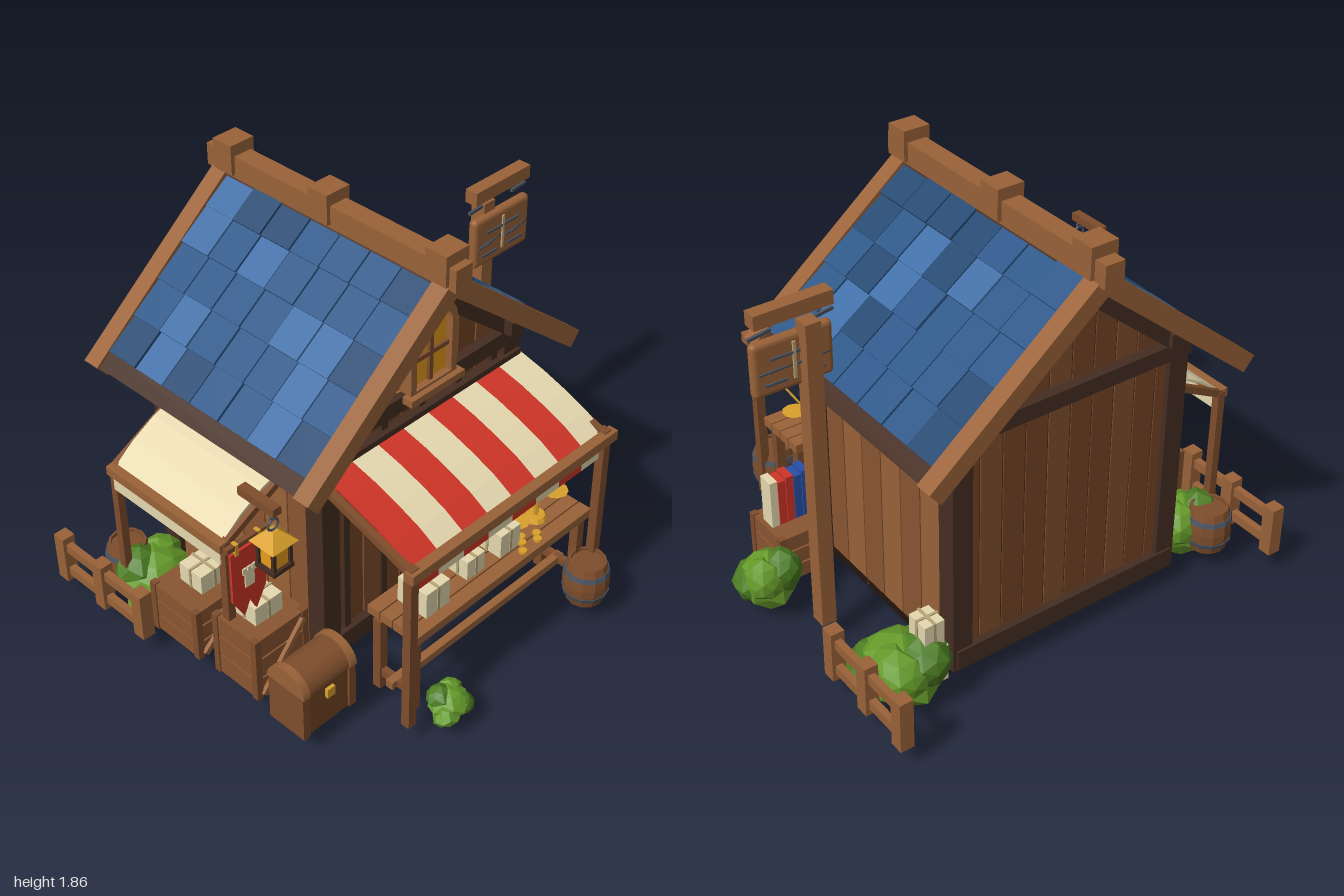
import * as THREE from 'three';
import { RoundedBoxGeometry } from 'three/addons/geometries/RoundedBoxGeometry.js';

const C = { light: 0x9a6238, mid: 0x7f4e2c, plank: 0x8a5531, plank2: 0x744525, dark: 0x452d21, deep: 0x24170f,
  cream: 0xe6d9b0, red: 0xcf3527, gold: 0xd9a02b, glass: 0xe89c1c, iron: 0x4a525e, blue: 0x2b5687, blue2: 0x244870,
  blue3: 0x3f6ea5, green: 0x659a2a, green2: 0x4c7d22, book: 0x2850a8, rope: 0xb9a678 };
const mats = {};
const mat = (color) => mats[color] ??= new THREE.MeshStandardMaterial({ color, flatShading: true, side: THREE.DoubleSide });
const hash = (a, b, c) => { const s = Math.sin(a * 12.99 + b * 78.23 + c * 37.72) * 43758.55; return s - Math.floor(s); };

function add(parent, name, geometry, color, x = 0, y = 0, z = 0) {
  const mesh = new THREE.Mesh(geometry, mat(color));
  mesh.name = name;
  mesh.position.set(x, y, z);
  parent.add(mesh);
  return mesh;
}
function group(parent, name, x = 0, y = 0, z = 0) {
  const g = new THREE.Group();
  g.name = name;
  g.position.set(x, y, z);
  parent.add(g);
  return g;
}
// box given by its extents
const box = (p, name, color, x0, x1, y0, y1, z0, z1) =>
  add(p, name, new THREE.BoxGeometry(x1 - x0, y1 - y0, z1 - z0), color, (x0 + x1) / 2, (y0 + y1) / 2, (z0 + z1) / 2);
// square beam from a to b
function beam(p, name, color, a, b, w, h = w) {
  const A = new THREE.Vector3(...a), B = new THREE.Vector3(...b);
  const m = add(p, name, new THREE.BoxGeometry(w, h, A.distanceTo(B)), color);
  m.position.copy(A).add(B).multiplyScalar(0.5);
  m.lookAt(B);
  return m;
}
const poly = (pts) => new THREE.Shape(pts.map(([x, y]) => new THREE.Vector2(x, y)));
const extrude = (shape, depth) => new THREE.ExtrudeGeometry(shape, { depth, bevelEnabled: false, curveSegments: 8 });
// profile in (z, y) swept along x, ending at x = 0
const extrudeX = (shape, width) => extrude(shape, width).rotateY(-Math.PI / 2);
const strip = (pts, t) => poly([...pts, ...pts.map(([x, y]) => [x, y - t]).reverse()]);
const cyl = (r0, r1, h, n = 10) => new THREE.CylinderGeometry(r0, r1, h, n);

function bush(root, x, y, z, rx, ry, rz) {
  const g = group(root, 'bush', x, y, z);
  g.scale.set(rx, ry, rz);
  [[0, 0, 0, 0.82], [0.38, -0.15, 0.3, 0.6], [-0.38, -0.3, 0.25, 0.6], [-0.2, 0.3, -0.3, 0.62], [0.35, 0.2, -0.3, 0.58]]
    .forEach(([a, b, c, r], i) => {
      const geo = new THREE.IcosahedronGeometry(r, 1), p = geo.attributes.position;
      for (let k = 0; k < p.count; k++) {
        const v = new THREE.Vector3().fromBufferAttribute(p, k);
        const q = v.toArray().map((n) => Math.round(n * 100));
        v.multiplyScalar(0.9 + 0.25 * hash(q[0] + i, q[1], q[2]));
        p.setXYZ(k, v.x, v.y, v.z);
      }
      geo.computeVertexNormals();
      add(g, 'leaves', geo, i % 2 ? C.green2 : C.green, a, b, c);
    });
}
function barrel(root, x, z) {
  const g = group(root, 'barrel', x, 0.11, z);
  const prof = [[0, 0], [0.08, 0], [0.097, 0.06], [0.1, 0.1], [0.097, 0.14], [0.08, 0.2], [0.07, 0.2], [0.07, 0.185], [0, 0.185]];
  add(g, 'staves', new THREE.LatheGeometry(prof.map(([r, y]) => new THREE.Vector2(r, y)), 12), C.mid);
  for (const y of [0.045, 0.155]) add(g, 'hoop', cyl(y < 0.1 ? 0.1 : 0.094, y < 0.1 ? 0.094 : 0.1, 0.02, 12), C.iron, 0, y);
}
function crate(root, x0, x1, y0, y1, z0, z1) {
  const g = group(root, 'crate');
  box(g, 'crateCore', C.plank2, x0 + 0.015, x1 - 0.015, y0, y1 - 0.01, z0 + 0.015, z1 - 0.015);
  const n = 3, h = (y1 - y0) / n;
  for (let i = 0; i < n; i++) box(g, 'crateSlat', C.plank, x0 + 0.005, x1 - 0.005, y0 + i * h + 0.005, y0 + (i + 1) * h - 0.005, z0 + 0.005, z1 - 0.005);
  for (const x of [x0, x1 - 0.03]) for (const z of [z0, z1 - 0.03]) box(g, 'cratePost', C.mid, x, x + 0.03, y0, y1, z, z + 0.03);
  beam(g, 'crateBrace', C.light, [x0 + 0.03, y0 + 0.02, z1], [x1 - 0.03, y1 - 0.03, z1], 0.025);
}
function parcel(root, x0, x1, y0, y1, z0, z1) {
  const g = group(root, 'parcel'), x = (x0 + x1) / 2, z = (z0 + z1) / 2;
  box(g, 'wrapping', C.cream, x0, x1, y0, y1, z0, z1);
  box(g, 'string', C.rope, x - 0.006, x + 0.006, y0, y1 + 0.004, z0 - 0.004, z1 + 0.004);
  box(g, 'string', C.rope, x0 - 0.004, x1 + 0.004, y0, y1 + 0.004, z - 0.006, z + 0.006);
}
function fence(root, x, z0, z1) {
  const g = group(root, 'fence');
  for (const t of [0, 0.5, 1]) { const z = z0 + 0.03 + t * (z1 - z0 - 0.06); box(g, 'fencePost', C.light, x - 0.03, x + 0.03, 0.11, 0.34, z - 0.03, z + 0.03); }
  for (const y of [0.14, 0.265]) box(g, 'fenceRail', C.light, x - 0.015, x + 0.015, y, y + 0.042, z0 + 0.015, z1 - 0.015);
}

function buildHouse(root) {
  const h = group(root, 'house', -0.016);
  box(h, 'floor', C.deep, -0.54, 0.54, 0.11, 0.15, -0.67, 0.28);
  // front and back planks, cut to the roof line
  const top = (x) => 1.67 - 0.82 * Math.abs(x), w = 0.104;
  for (const z of [0.235, -0.655]) for (let i = -5; i < 5; i++) {
    const a = i * w + 0.004, b = (i + 1) * w - 0.004;
    add(h, 'wallPlank', extrude(poly([[a, 0.12], [b, 0.12], [b, top(b)], [a, top(a)]]), 0.03), i % 3 ? C.plank2 : C.mid, 0, 0, z);
  }
  for (const z of [0.235, -0.65]) add(h, 'wallBacking', extrude(poly([[-0.52, 0.12], [0.52, 0.12], [0.52, 1.24], [0, 1.66], [-0.52, 1.24]]), 0.015), C.dark, 0, 0, z);
  for (const s of [-1, 1]) {
    box(h, 'sideBacking', C.dark, s * 0.515 - 0.01, s * 0.515 + 0.01, 0.12, 1.24, -0.65, 0.25);
    for (let i = 0; i < 6; i++) box(h, 'sidePlank', i % 2 ? C.plank : C.light, s * 0.525 - 0.015, s * 0.525 + 0.015, 0.12, 1.2, -0.575 + i * 0.132, -0.45 + i * 0.132);
    for (const z of [-0.635, 0.245]) box(h, 'cornerPost', C.dark, s * 0.51 - 0.045, s * 0.51 + 0.045, 0.11, 1.2, z - 0.045, z + 0.045);
    box(h, 'sideTopBeam', C.dark, s * 0.52 - 0.03, s * 0.52 + 0.03, 1.14, 1.22, -0.68, 0.29);
    box(h, 'purlin', C.dark, s * 0.46 - 0.03, s * 0.46 + 0.03, 1.235, 1.295, -0.72, 0.35);
  }
  for (const z of [-0.665, 0.275]) {
    box(h, 'tieBeam', C.dark, -0.55, 0.55, 1.165, 1.235, z - 0.035, z + 0.035);
    box(h, 'sillBeam', C.dark, -0.54, 0.54, 0.12, 0.21, z - 0.025, z + 0.025);
  }
  box(h, 'awningBeam', C.dark, -0.55, 0.55, 1.05, 1.1, 0.26, 0.305);
  for (let i = -2; i <= 2; i++) box(h, 'batten', C.dark, i * 0.208 - 0.016, i * 0.208 + 0.016, 0.2, 1.17, 0.25, 0.28);

  // roof: one tilted half per side, local x runs down the slope
  for (const s of [-1, 1]) {
    const r = group(h, 'roofHalf', 0, 1.766);
    r.rotation.z = -s * 0.687;
    const part = (name, color, a, b, y0, y1, z0, z1) => box(r, name, color, Math.min(s * a, s * b), Math.max(s * a, s * b), y0, y1, z0, z1);
    part('roofDeck', C.dark, 0, 0.95, -0.07, -0.035, -0.76, 0.36);
    part('fascia', C.dark, 0.9, 0.975, -0.075, -0.015, -0.76, 0.36);
    for (const z of [-0.83, 0.355]) part('bargeBoard', C.light, 0, 0.982, -0.077, 0, z, z + 0.078);
    for (const z of [-0.7, 0.265]) part('gableBrace', C.dark, 0.03, 0.72, -0.14, -0.085, z, z + 0.045);
    for (let i = 0; i < 5; i++) for (let j = 0; j < 7; j++) {
      const k = hash(i + 1, j + 3, s + 2);
      const tile = add(r, 'roofTile', new THREE.BoxGeometry(0.185, 0.022, 0.153), k < 0.3 ? C.blue2 : k > 0.8 ? C.blue3 : C.blue,
        s * (0.12 + i * 0.172), -0.026 + 0.008 * hash(j, i, s), -0.674 + j * 0.159);
      tile.rotation.z = s * 0.06;
    }
  }
  box(h, 'ridgeBeam', C.light, -0.043, 0.043, 1.72, 1.815, -0.86, 0.465);
  for (const z of [-0.75, -0.22, 0.38]) box(h, 'ridgeCap', C.light, -0.06, 0.06, 1.735, 1.865, z - 0.052, z + 0.052);

  // arched window
  const win = group(h, 'window');
  const arch = (Type, r, y0) => { const p = new Type(); p.moveTo(-r, y0); p.lineTo(r, y0); p.lineTo(r, 1.475); p.absarc(0, 1.475, r, 0, Math.PI, false); p.closePath(); return p; };
  const frame = arch(THREE.Shape, 0.126, 1.225);
  frame.holes.push(arch(THREE.Path, 0.096, 1.245));
  add(win, 'windowFrame', extrude(frame, 0.06), C.light, 0, 0, 0.275);
  add(win, 'windowGlass', extrude(arch(THREE.Shape, 0.1, 1.235), 0.015), C.glass, 0, 0, 0.29);
  box(win, 'mullion', C.mid, -0.01, 0.01, 1.235, 1.57, 0.3, 0.32);
  box(win, 'mullion', C.mid, -0.1, 0.1, 1.36, 1.38, 0.3, 0.32);
  box(win, 'windowSill', C.light, -0.147, 0.147, 1.205, 1.235, 0.27, 0.36);
}

function buildFrontStall(root) {
  const a = group(root, 'frontAwning');
  const cloth = [[0.3, 1.075], [0.42, 1.045], [0.54, 1.005], [0.65, 0.96], [0.745, 0.905]];
  const w = 1.105 / 8;
  for (let i = 0; i < 8; i++) {
    const color = i % 2 ? C.cream : C.red, x1 = -0.562 + (i + 1) * w;
    add(a, 'awningStripe', extrudeX(strip(cloth, 0.012), w), color, x1);
    box(a, 'valance', color, x1 - w, x1, 0.79, 0.91, 0.735, 0.747);
  }
  box(a, 'awningBar', C.light, -0.605, 0.57, 0.88, 0.925, 0.743, 0.788);
  for (const x of [-0.575, 0.533]) {
    box(a, 'awningPost', C.mid, x - 0.02, x + 0.02, 0.11, 0.93, 0.73, 0.77);
    beam(a, 'awningRafter', C.mid, [x, 1.055, 0.28], [x, 0.9, 0.76], 0.03);
  }
  const t = group(root, 'counter');
  for (let i = 0; i < 4; i++) box(t, 'counterPlank', C.light, -0.51, 0.525, 0.47, 0.51, 0.467 + i * 0.067, 0.528 + i * 0.067);
  for (const x of [-0.5, 0.48]) {
    for (const z of [0.525, 0.7]) box(t, 'counterLeg', C.mid, x - 0.02, x + 0.02, 0.11, 0.47, z - 0.02, z + 0.02);
    box(t, 'counterCross', C.mid, x - 0.014, x + 0.014, 0.18, 0.215, 0.53, 0.7);
  }
  box(t, 'counterRail', C.light, -0.54, 0.5, 0.18, 0.215, 0.595, 0.63);
  parcel(root, -0.41, -0.28, 0.51, 0.63, 0.53, 0.68);
  parcel(root, -0.145, -0.045, 0.51, 0.6, 0.55, 0.65);
  parcel(root, 0.04, 0.155, 0.51, 0.62, 0.52, 0.66);
  // weighing scales and coins
  const s = group(root, 'scales', 0.325, 0.51, 0.6);
  add(s, 'scalesBase', cyl(0.04, 0.05, 0.02), C.gold, 0, 0.01);
  add(s, 'scalesColumn', cyl(0.008, 0.012, 0.22, 6), C.gold, 0, 0.12);
  beam(s, 'scalesBeam', C.gold, [-0.13, 0.205, 0], [0.13, 0.22, 0], 0.012);
  for (const [x, y] of [[-0.12, 0.05], [0.12, 0.065]]) {
    for (const d of [-0.04, 0.04]) beam(s, 'scalesChain', C.gold, [x, y + 0.155, 0], [x, y, d], 0.005);
    add(s, 'scalesPan', cyl(0.055, 0.035, 0.014), C.gold, x, y);
  }
  for (let i = 0; i < 5; i++) add(root, 'coin', cyl(0.018, 0.018, 0.012, 8), C.gold, 0.13 + i * 0.03, 0.516 + (i % 2) * 0.006, 0.7 - (i % 3) * 0.03);
}

function buildSideStall(root) {
  const a = group(root, 'sideAwning');
  add(a, 'sideCanvas', extrude(strip([[-0.56, 0.98], [-0.66, 0.945], [-0.77, 0.885], [-0.88, 0.8]], 0.012), 0.63), C.cream, 0, 0, -0.57);
  box(a, 'sideValance', C.cream, -0.885, -0.873, 0.7, 0.8, -0.57, 0.06);
  box(a, 'sideBar', C.light, -0.9, -0.86, 0.775, 0.815, -0.59, 0.08);
  for (const z of [-0.58, 0.065]) {
    box(a, 'sidePost', C.mid, -0.88, -0.845, 0.11, 0.81, z - 0.018, z + 0.018);
    beam(a, 'sideRafter', C.mid, [-0.54, 0.965, z], [-0.88, 0.79, z], 0.03);
  }
  crate(root, -0.9, -0.62, 0.11, 0.42, 0, 0.25);
  crate(root, -0.915, -0.62, 0.11, 0.36, -0.36, -0.08);
  parcel(root, -0.83, -0.69, 0.42, 0.51, 0.05, 0.18);
  parcel(root, -0.82, -0.68, 0.36, 0.45, -0.28, -0.15);
  // chest with domed lid
  const c = group(root, 'chest');
  const dome = (r, ry) => { const p = new THREE.Shape(); p.moveTo(-r, 0.33); p.absellipse(0, 0.33, r, ry, Math.PI, 0, true); p.closePath(); return p; };
  box(c, 'chestBody', C.plank2, -0.9, -0.645, 0.11, 0.33, 0.34, 0.515);
  add(c, 'chestLid', extrudeX(dome(0.095, 0.085), 0.275), C.mid, -0.635, 0, 0.43);
  for (const x of [-0.88, -0.635]) {
    add(c, 'lidStrap', extrudeX(dome(0.102, 0.092), 0.035), C.light, x, 0, 0.43);
    box(c, 'bodyStrap', C.mid, x - 0.035, x, 0.11, 0.33, 0.335, 0.525);
  }
  box(c, 'chestLock', C.gold, -0.79, -0.75, 0.25, 0.295, 0.51, 0.53);
  // banner
  const b = group(root, 'banner');
  box(b, 'bannerRod', C.mid, -0.985, -0.78, 0.92, 0.942, 0.205, 0.227);
  add(b, 'bannerCloth', extrude(poly([[-0.968, 0.9], [-0.968, 0.665], [-0.915, 0.57], [-0.885, 0.635], [-0.855, 0.57], [-0.803, 0.665], [-0.803, 0.9]]), 0.012), C.red, 0, 0, 0.21);
  for (const x of [-0.94, -0.83]) box(b, 'bannerLoop', C.gold, x - 0.008, x + 0.008, 0.89, 0.945, 0.203, 0.229);
  box(b, 'towerRelief', C.cream, -0.908, -0.862, 0.71, 0.79, 0.22, 0.228);
  for (const x of [-0.908, -0.885, -0.862]) box(b, 'towerRelief', C.cream, x - 0.009, x + 0.009, 0.775, 0.805, 0.22, 0.228);
  // lantern on a short arm
  const l = group(root, 'lantern', -0.895, 0, 0.38);
  box(l, 'lanternArm', C.mid, -0.02, 0.02, 1.165, 1.2, -0.16, 0.025);
  const ring = add(l, 'lanternRing', new THREE.TorusGeometry(0.025, 0.005, 5, 10), C.iron, 0, 1.11);
  beam(l, 'lanternHook', C.iron, [0, 1.17, 0], [0, 1.13, 0], 0.01);
  add(l, 'lanternCap', cyl(0.02, 0.09, 0.05, 4).rotateY(Math.PI / 4), C.gold, 0, 1.06);
  box(l, 'lanternGlass', C.glass, -0.036, 0.036, 0.93, 1.04, -0.036, 0.036);
  box(l, 'lanternBase', C.dark, -0.05, 0.05, 0.913, 0.932, -0.05, 0.05);
  for (const x of [-0.04, 0.04]) for (const z of [-0.04, 0.04]) box(l, 'lanternBar', C.dark, x - 0.007, x + 0.007, 0.92, 1.04, z - 0.007, z + 0.007);
}

function buildSign(root) {
  const s = group(root, 'sign', 0.83, 0, -0.1);
  box(s, 'signPost', C.light, -0.09, -0.025, 0.11, 1.51, -0.06, 0.01);
  box(s, 'signArm', C.light, -0.165, 0.165, 1.54, 1.6, -0.03, 0.03);
  add(s, 'signBoard', new RoundedBoxGeometry(0.34, 0.23, 0.045, 2, 0.02), C.light, 0, 1.35, 0.012);
  for (const x of [-0.13, 0.13]) beam(s, 'signChain', C.iron, [x, 1.45, 0], [x, 1.55, 0], 0.012);
  for (const z of [0.037, -0.014]) {
    box(s, 'scalesRelief', C.rope, -0.006, 0.006, 1.28, 1.435, z - 0.004, z + 0.004);
    box(s, 'scalesRelief', C.iron, -0.1, 0.1, 1.385, 1.395, z - 0.004, z + 0.004);
    for (const x of [-0.08, 0.08]) {
      for (const d of [-0.04, 0.04]) beam(s, 'scalesRelief', C.iron, [x, 1.39, z], [x + d, 1.29, z], 0.007);
      box(s, 'scalesRelief', C.iron, x - 0.045, x + 0.045, 1.282, 1.292, z - 0.004, z + 0.004);
    }
  }
}

export function createModel() {
  const root = new THREE.Group();
  root.name = 'marketHouse';
  buildHouse(root);
  buildFrontStall(root);
  buildSideStall(root);
  buildSign(root);
  // goods on the right side
  crate(root, 0.565, 0.805, 0.11, 0.34, 0.145, 0.39);
  [C.book, C.book, C.red, C.red, C.cream].forEach((c, i) => box(root, 'book', c, 0.6 + i * 0.037, 0.634 + i * 0.037, 0.34, 0.56 - (i % 2) * 0.01, 0.24, 0.315));
  parcel(root, 0.57, 0.68, 0.11, 0.28, -0.69, -0.55);
  parcel(root, 0.58, 0.67, 0.28, 0.4, -0.68, -0.575);
  barrel(root, 0.458, 0.785);
  barrel(root, -0.79, -0.66);
  fence(root, 0.91, -0.91, -0.39);
  fence(root, -0.97, -0.88, -0.325);
  bush(root, 0.86, 0.19, 0.15, 0.14, 0.155, 0.14);
  bush(root, 0.7, 0.17, -0.57, 0.19, 0.17, 0.215);
  bush(root, -0.755, 0.17, -0.53, 0.18, 0.165, 0.16);
  bush(root, -0.4, 0.137, 0.8, 0.095, 0.085, 0.09);
  return root;
}
